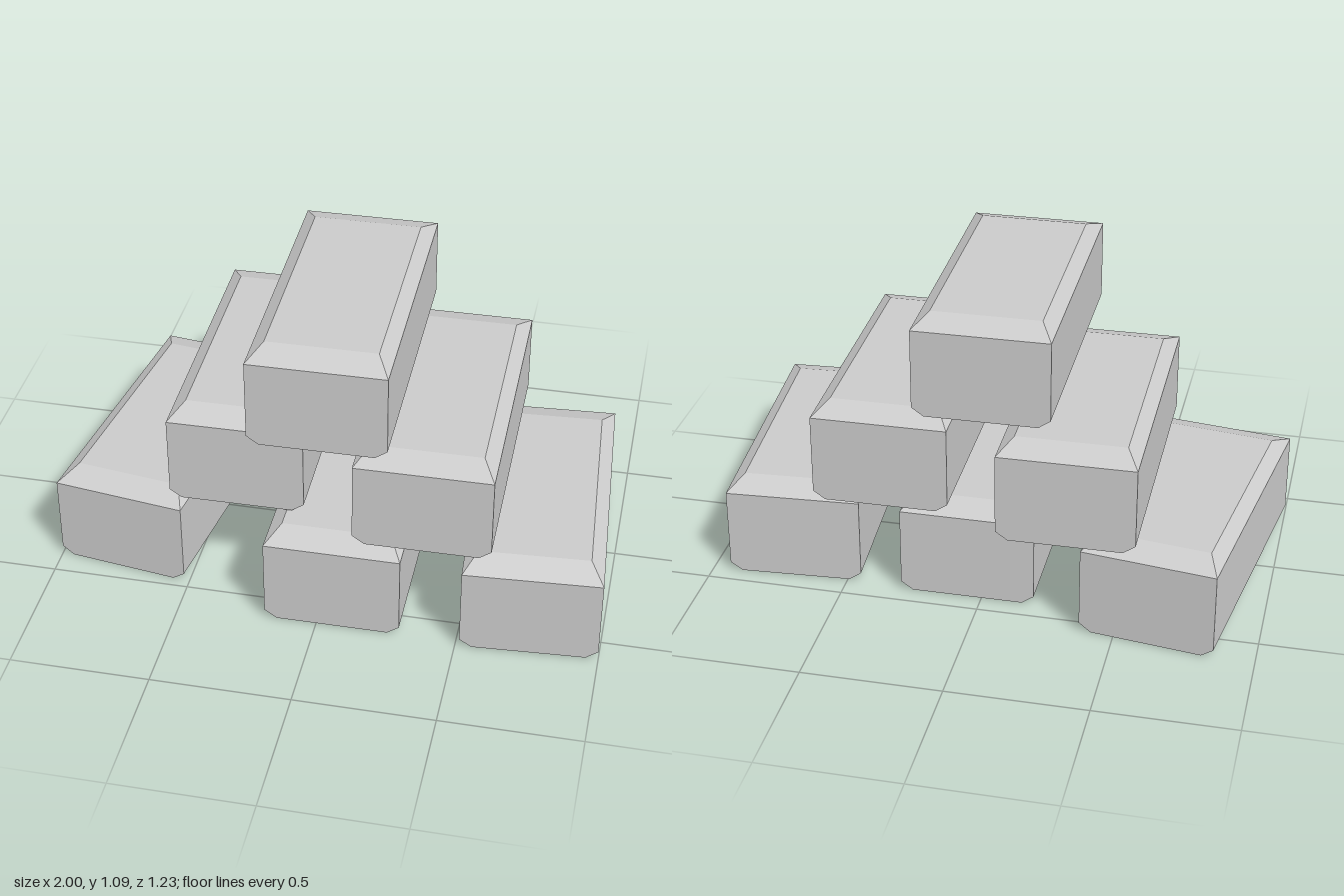
import * as THREE from 'three';
import { ConvexGeometry } from 'three/addons/geometries/ConvexGeometry.js';

// Bar size
const W = 0.485, L = 1.025, H = 0.355;

// Cross-section levels: [height, half width, half length]
const LEVELS = [
  [0, W / 2 - 0.043, L / 2],
  [0.03, W / 2, L / 2],
  [H - 0.034, W / 2, L / 2],
  [H, W / 2 - 0.048, L / 2 - 0.097],
];

// Chamfered bar: top bevelled on four sides, bottom only along its length
function barGeometry() {
  const points = [];
  for (const [y, hx, hz] of LEVELS)
    for (const sx of [-1, 1])
      for (const sz of [-1, 1]) points.push(new THREE.Vector3(sx * hx, y, sz * hz));
  return new ConvexGeometry(points);
}

// Placement of each bar: name, x, y, z, turn about y
const BARS = [
  ['bottomRightBar', -0.688, 0, -0.075, -0.141],
  ['bottomMiddleBar', 0.054, 0, 0.087, 0.002],
  ['bottomLeftBar', 0.725, 0, 0.09, 0.062],
  ['middleRightBar', -0.325, 0.361, -0.077, 0.01],
  ['middleLeftBar', 0.36, 0.361, 0.052, 0.009],
  ['topBar', -0.004, 0.735, 0.054, 0.009],
];

export function createModel() {
  const model = new THREE.Group();
  model.name = 'barStack';
  const geometry = barGeometry();
  const material = new THREE.MeshStandardMaterial({ color: 0xcccccc, flatShading: true });
  for (const [name, x, y, z, turn] of BARS) {
    const bar = new THREE.Mesh(geometry, material);
    bar.name = name;
    bar.position.set(x, y, z);
    bar.rotation.y = turn;
    model.add(bar);
  }
  return model;
}
